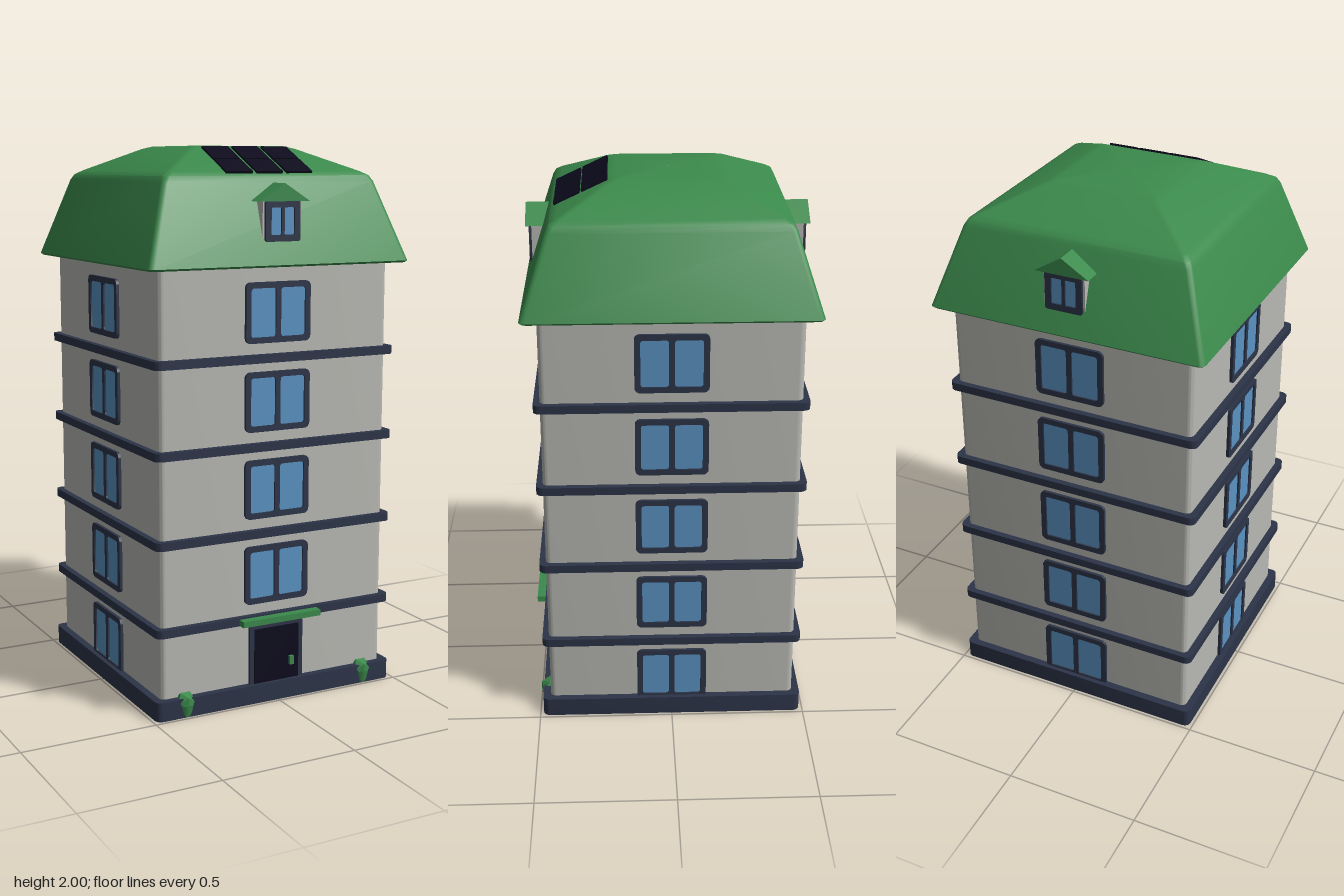
import * as THREE from 'three';
import { toCreasedNormals } from 'three/addons/utils/BufferGeometryUtils.js';

const mat = (name, color) => Object.assign(new THREE.MeshStandardMaterial({ color }), { name });

const WALL = 0.46;      // half width of the walls
const STOREY = 0.3155;  // floor to floor height

export function createModel() {
  const model = new THREE.Group();
  model.name = 'towerHouse';
  const green = mat('roofGreen', 0x3b8a4c);
  const grey = mat('wallGrey', 0xb8b8b3);
  const navy = mat('trimNavy', 0x2c3448);
  const blue = mat('glassBlue', 0x5a92c3);
  const black = mat('panelBlack', 0x0c0a1c);

  function add(parent, name, geometry, material, x = 0, y = 0, z = 0) {
    const mesh = new THREE.Mesh(geometry, material);
    mesh.name = name;
    mesh.position.set(x, y, z);
    parent.add(mesh);
    return mesh;
  }
  const box = (w, h, d) => new THREE.BoxGeometry(w, h, d);

  // Outline of a rectangle with rounded corners, centred on cx, cy
  function roundedRect(w, h, r, cx = 0, cy = 0, Type = THREE.Shape) {
    const s = new Type();
    const a = w / 2 - r, b = h / 2 - r;
    s.absarc(cx + a, cy + b, r, 0, Math.PI / 2);
    s.absarc(cx - a, cy + b, r, Math.PI / 2, Math.PI);
    s.absarc(cx - a, cy - b, r, Math.PI, Math.PI * 1.5);
    s.absarc(cx + a, cy - b, r, Math.PI * 1.5, Math.PI * 2);
    s.closePath();
    return s;
  }
  const extrude = (shape, depth) => toCreasedNormals(
    new THREE.ExtrudeGeometry(shape, { depth, bevelEnabled: false, curveSegments: 4 }), 0.6);

  // Square storey slab with rounded vertical edges, standing on y = 0
  const slab = (half, height, r) => extrude(roundedRect(half * 2, half * 2, r), height).rotateX(-Math.PI / 2);

  // Walls, plinth and storey bands
  add(model, 'walls', slab(WALL, 1.555, 0.02), grey, 0, 0.04, 0);
  add(model, 'plinth', slab(0.488, 0.07, 0.025), navy);
  for (let i = 1; i <= 4; i++) {
    add(model, 'storeyBand', slab(0.483, 0.03, 0.025), navy, 0, i * STOREY - 0.013, 0);
  }

  // Mansard roof: rounded square rings (half width, height) joined upwards
  const rings = [[0.001, 1.585], [0.51, 1.585], [0.517, 1.592], [0.424, 1.875], [0.412, 1.896],
    [0.387, 1.911], [0.215, 1.991], [0.185, 2], [0.001, 2]];
  const positions = [], index = [], corner = 3;
  const count = 4 * (corner + 1);
  for (const [half, y] of rings) {
    const r = Math.min(0.018, half * 0.9);
    for (let q = 0; q < 4; q++) {
      for (let j = 0; j <= corner; j++) {
        const a = (q + j / corner) * Math.PI / 2;
        const mid = (q + 0.5) * Math.PI / 2;
        positions.push(Math.sign(Math.cos(mid)) * (half - r) + Math.cos(a) * r, y,
          Math.sign(Math.sin(mid)) * (half - r) + Math.sin(a) * r);
      }
    }
  }
  for (let k = 0; k < rings.length - 1; k++) {
    for (let j = 0; j < count; j++) {
      const a = k * count + j, b = k * count + (j + 1) % count;
      index.push(a, a + count, b, b, a + count, b + count);
    }
  }
  const roof = new THREE.BufferGeometry();
  roof.setAttribute('position', new THREE.Float32BufferAttribute(positions, 3));
  roof.setIndex(index);
  add(model, 'mansardRoof', toCreasedNormals(roof, 0.6), green);

  // Double window: frame with two openings over a glass plate
  function windowUnit(w, h, border, mullion, r) {
    const unit = new THREE.Group();
    unit.name = 'window';
    const frame = roundedRect(w, h, r);
    const paneW = (w - 2 * border - mullion) / 2;
    for (const s of [-1, 1]) {
      frame.holes.push(roundedRect(paneW, h - 2 * border, r * 0.5, s * (paneW + mullion) / 2, 0, THREE.Path));
    }
    add(unit, 'windowFrame', extrude(frame, 0.011), navy);
    add(unit, 'windowGlass', box(w - border, h - border, 0.006), blue, 0, 0, 0.002);
    return unit;
  }

  // Four facades; the front has the door in place of the lowest window
  for (let side = 0; side < 4; side++) {
    const facade = new THREE.Group();
    facade.name = 'facade';
    facade.rotation.y = side * Math.PI / 2;
    model.add(facade);
    for (let floor = side === 0 ? 1 : 0; floor < 5; floor++) {
      const unit = windowUnit(0.26, 0.214, 0.021, 0.02, 0.02);
      unit.position.set(0, 0.163 + floor * STOREY, WALL);
      facade.add(unit);
    }
  }

  // Entrance
  add(model, 'doorFrame', box(0.22, 0.23, 0.014), navy, 0, 0.172, WALL + 0.005);
  add(model, 'door', box(0.185, 0.215, 0.006), black, 0, 0.168, WALL + 0.011);
  add(model, 'doorHandle', box(0.016, 0.032, 0.014), green, 0.058, 0.14, WALL + 0.02);
  add(model, 'doorCanopy', box(0.32, 0.022, 0.065), green, 0, 0.316, 0.483);

  // Potted shrubs at the plinth
  for (const s of [-1, 1]) {
    const plant = new THREE.Group();
    plant.name = 'shrub';
    plant.position.set(s * 0.37, 0, 0.466);
    model.add(plant);
    add(plant, 'shrubPot', new THREE.CylinderGeometry(0.034, 0.024, 0.045, 10), green, 0, 0.0235, 0);
    add(plant, 'shrubLeaves', new THREE.IcosahedronGeometry(0.038, 0), green, 0, 0.054, 0);
  }

  // Dormers, front and back
  const gable = new THREE.Shape([[-0.1, 0], [0.1, 0], [0, 0.062]].map(p => new THREE.Vector2(...p)));
  for (const turn of [0, Math.PI]) {
    const dormer = new THREE.Group();
    dormer.name = 'dormer';
    dormer.rotation.y = turn;
    model.add(dormer);
    add(dormer, 'dormerWalls', box(0.152, 0.13, 0.11), grey, 0, 1.75, 0.432);
    add(dormer, 'dormerRoof', extrude(gable, 0.14), green, 0, 1.81, 0.368);
    const unit = windowUnit(0.138, 0.14, 0.023, 0.012, 0.008);
    unit.position.set(0, 1.742, 0.486);
    dormer.add(unit);
  }

  // Solar panels on the front roof slope, three by two
  const solar = new THREE.Group();
  solar.name = 'solarArray';
  solar.position.set(0, 1.951, 0.307);
  solar.rotation.x = Math.atan2(0.08, 0.172);
  model.add(solar);
  for (const i of [-1, 0, 1]) {
    for (const j of [-1, 1]) {
      add(solar, 'solarPanel', box(0.105, 0.009, 0.1), black, i * 0.12, 0, j * 0.0535);
    }
  }
  return model;
}
